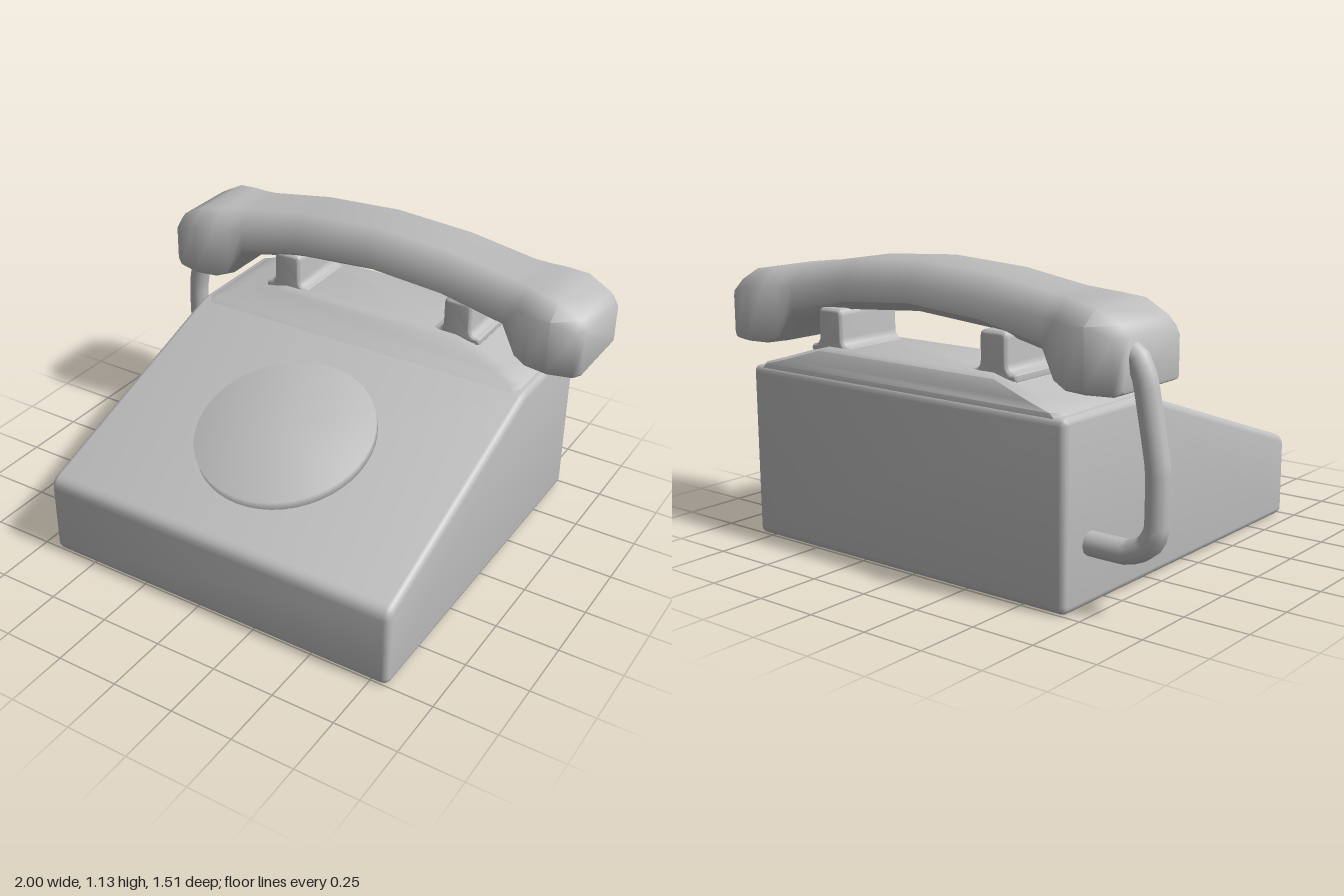
import * as THREE from 'three';
import { mergeVertices, toCreasedNormals } from 'three/addons/utils/BufferGeometryUtils.js';

const grey = new THREE.MeshStandardMaterial({ color: 0xc0c0c0 });
grey.name = 'plain grey';

function part(name, geometry) {
  const mesh = new THREE.Mesh(geometry, grey);
  mesh.name = name;
  return mesh;
}

// Closed solid through rings that run counter-clockwise seen from the far end
function loft(rings, crease) {
  const n = rings[0].length, last = (rings.length - 1) * n, index = [];
  for (let i = 0; i < rings.length - 1; i++) {
    for (let j = 0; j < n; j++) {
      const a = i * n + j, b = i * n + (j + 1) % n;
      index.push(a, b, a + n, b, b + n, a + n);
    }
  }
  for (let j = 1; j < n - 1; j++) {
    index.push(0, j + 1, j, last, last + j, last + j + 1);
  }
  const g = new THREE.BufferGeometry();
  g.setAttribute('position', new THREE.Float32BufferAttribute(rings.flat(2), 3));
  g.setIndex(index);
  return toCreasedNormals(g, crease);
}

// Polygon with each corner rounded by its own radius: [x, y, radius]
function roundedShape(points) {
  const shape = new THREE.Shape();
  points.forEach(([x, y, r], i) => {
    const p = new THREE.Vector2(x, y);
    const toward = (q) => new THREE.Vector2(q[0], q[1]).sub(p).setLength(r).add(p);
    const start = toward(points.at(i - 1));
    const end = toward(points[(i + 1) % points.length]);
    if (i === 0) shape.moveTo(start.x, start.y);
    else shape.lineTo(start.x, start.y);
    shape.quadraticCurveTo(x, y, end.x, end.y);
  });
  shape.closePath();
  return shape;
}

// Bevelled extrusion of given total depth, centred on z = 0
function extrude(shape, depth, bevel) {
  const g = new THREE.ExtrudeGeometry(shape, {
    depth: depth - 2 * bevel, curveSegments: 4,
    bevelSize: bevel, bevelThickness: bevel, bevelOffset: -bevel, bevelSegments: 3,
  });
  g.translate(0, 0, -(depth - 2 * bevel) / 2);
  return toCreasedNormals(g, 0.65);
}

export function createModel() {
  const model = new THREE.Group();
  model.name = 'deskTelephone';
  const phone = new THREE.Group();
  phone.name = 'phone';
  phone.position.x = 0.065;
  model.add(phone);

  // Wedge-shaped housing, profile drawn as (z, y)
  const profile = roundedShape([
    [0.755, 0, 0.03], [0.755, 0.327, 0.04], [-0.28, 0.68, 0.03],
    [-0.755, 0.68, 0.03], [-0.755, 0, 0.03],
  ]);
  phone.add(part('housing', extrude(profile, 1.51, 0.025).rotateY(-Math.PI / 2)));

  // Raised cradle base: [y, half width, front z, back z, corner cut]
  const cradle = [
    [0.655, 0.745, -0.235, -0.75, 0.02],
    [0.69, 0.715, -0.285, -0.745, 0.03],
    [0.715, 0.63, -0.315, -0.735, 0.04],
    [0.765, 0.465, -0.355, -0.715, 0.04],
    [0.78, 0.425, -0.375, -0.7, 0.04],
  ].map(([y, h, f, b, c]) => [
    [h, y, f - c], [h, y, b + c], [h - c, y, b], [c - h, y, b],
    [-h, y, b + c], [-h, y, f - c], [c - h, y, f], [h - c, y, f],
  ]);
  phone.add(part('cradleBase', loft(cradle, 0.9)));

  // Two cradle supports with flared feet
  const support = roundedShape([
    [-0.1, -0.02, 0.003], [-0.1, 0.005, 0.003], [-0.06, 0.012, 0.03], [-0.06, 0.15, 0.025],
    [0.06, 0.15, 0.025], [0.06, 0.012, 0.03], [0.1, 0.005, 0.003], [0.1, -0.02, 0.003],
  ]);
  for (const side of [-1, 1]) {
    const mesh = part(side > 0 ? 'leftCradleSupport' : 'rightCradleSupport', extrude(support, 0.3, 0.015));
    mesh.position.set(side * 0.395, 0.775, -0.535);
    phone.add(mesh);
  }

  // Round dial lying on the slope, softly shaded over its rim
  let disc = new THREE.CylinderGeometry(0.355, 0.355, 0.07, 48);
  disc.deleteAttribute('normal');
  disc.deleteAttribute('uv');
  disc = mergeVertices(disc);
  disc.computeVertexNormals();
  const dial = part('dial', disc);
  dial.rotation.x = 0.325;
  dial.position.set(0, 0.509, 0.234);
  phone.add(dial);

  // Handset: [x, top, bottom, half depth, top half, top drop, bottom half, bottom rise]
  const half = [
    [0.33, 1.11, 0.92, 0.16, 0.1, 0.08, 0.1, 0.035],
    [0.6, 1.067, 0.865, 0.163, 0.1, 0.075, 0.11, 0.035],
    [0.665, 1.06, 0.77, 0.18, 0.11, 0.075, 0.13, 0.02],
    [0.72, 1.052, 0.762, 0.2, 0.13, 0.07, 0.185, 0.01],
    [0.81, 1.04, 0.762, 0.212, 0.145, 0.055, 0.2, 0.01],
    [0.905, 0.99, 0.762, 0.185, 0.14, 0.04, 0.175, 0.01],
    [0.933, 0.955, 0.775, 0.165, 0.13, 0.03, 0.16, 0.01],
  ];
  const stations = [
    ...half.map(([x, ...rest]) => [-x, ...rest]).reverse(),
    [0, 1.13, 0.945, 0.16, 0.1, 0.08, 0.1, 0.035],
    ...half,
  ];
  const handset = part('handset', loft(stations.map(([x, t, b, w, th, td, bh, br]) => [
    [x, b + br, -w], [x, t - td, -w], [x, t, -th], [x, t, th],
    [x, t - td, w], [x, b + br, w], [x, b, bh], [x, b, -bh],
  ]), 1.0));
  handset.position.z = -0.518;
  phone.add(handset);

  // Cord from the side of the housing up to the handset
  const path = new THREE.CatmullRomCurve3([
    [-0.66, 0.225], [-0.84, 0.225], [-0.92, 0.257], [-0.957, 0.32],
    [-0.957, 0.53], [-0.905, 0.81], [-0.87, 0.885], [-0.81, 0.915],
  ].map(([x, y]) => new THREE.Vector3(x, y, -0.61)), false, 'catmullrom', 0.2);
  model.add(part('cord', new THREE.TubeGeometry(path, 28, 0.044, 10)));

  return model;
}
